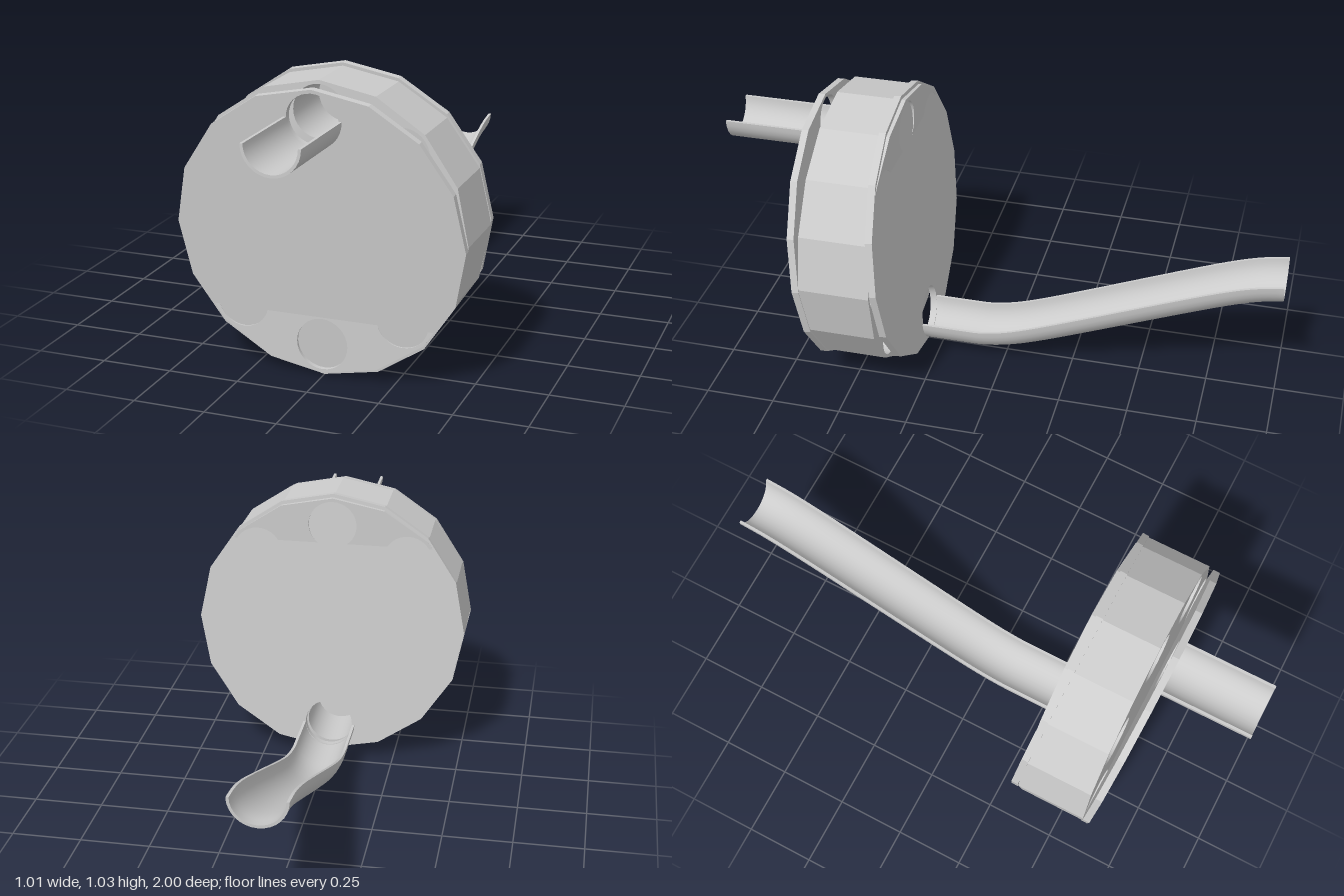
import * as THREE from 'three';
import { toCreasedNormals } from 'three/addons/utils/BufferGeometryUtils.js';

const RADIUS = 0.503, RING = 0.4, BORE = 0.09, TILT = THREE.MathUtils.degToRad(5);
const material = new THREE.MeshStandardMaterial({ color: 0xcccccc });
const openMaterial = new THREE.MeshStandardMaterial({ color: 0xcccccc, side: THREE.DoubleSide });

// 16-sided slab, centred on its own axis, with round bores at the given angles
function slab(depth, angles) {
  const corners = Array.from({ length: 16 }, (_, i) => {
    const a = i * Math.PI / 8;
    return new THREE.Vector2(RADIUS * Math.cos(a), RADIUS * Math.sin(a));
  });
  const shape = new THREE.Shape(corners);
  for (const a of angles) {
    const hole = new THREE.Path();
    hole.absarc(RING * Math.cos(a), RING * Math.sin(a), BORE, 0, Math.PI * 2, true);
    shape.holes.push(hole);
  }
  const geometry = new THREE.ExtrudeGeometry(shape, { depth, bevelEnabled: false, curveSegments: 16 });
  geometry.translate(0, 0, -depth / 2);
  return toCreasedNormals(geometry, 0.3);
}

// Half-pipe swept along a path of [z, y] rim points running towards +z
function trough(points, steps) {
  const curve = new THREE.CatmullRomCurve3(points.map(([z, y]) => new THREE.Vector3(0, y, z)));
  const N = 16, section = [];
  for (let i = 0; i <= N; i++) section.push([0.1, Math.PI * (1 + i / N)]);
  for (let i = N; i >= 0; i--) section.push([0.09, Math.PI * (1 + i / N)]);
  const m = section.length, position = [], index = [];

  for (let s = 0; s <= steps; s++) {
    const p = curve.getPointAt(s / steps);
    // both ends are cut upright
    const t = s === 0 || s === steps ? new THREE.Vector3(0, 0, 1) : curve.getTangentAt(s / steps);
    for (const [r, a] of section) {
      const v = r * Math.sin(a);
      position.push(r * Math.cos(a), p.y + v * t.z, p.z - v * t.y);
    }
  }
  const quad = (a, b, c, d) => index.push(a, b, c, a, c, d);
  for (let s = 0; s < steps; s++) {
    for (let k = 0; k < m; k++) {
      const n = (k + 1) % m, o = s * m;
      quad(o + k, o + n, o + m + n, o + m + k);
    }
  }
  // end caps
  const e = steps * m;
  for (let k = 0; k < N; k++) {
    quad(e + k, e + k + 1, e + m - 2 - k, e + m - 1 - k);
    quad(k, m - 1 - k, m - 2 - k, k + 1);
  }
  const geometry = new THREE.BufferGeometry();
  geometry.setAttribute('position', new THREE.Float32BufferAttribute(position, 3));
  geometry.setIndex(index);
  return toCreasedNormals(geometry, 0.6);
}

export function createModel() {
  const model = new THREE.Group();
  model.name = 'drumWithTroughs';
  const add = (name, geometry, mat, y = 0, z = 0, tilt = 0) => {
    const mesh = new THREE.Mesh(geometry, mat);
    mesh.name = name;
    mesh.position.set(0, y, z);
    mesh.rotation.x = tilt;
    model.add(mesh);
  };

  // Drum with a ring of eight through-bores
  const eight = Array.from({ length: 8 }, (_, i) => i * Math.PI / 4);
  add('drum', slab(0.25, eight), material, 0.516, 0.488);

  // Tilted cover plates, each with one opening
  add('frontPlate', slab(0.025, [Math.PI / 2]), material, 0.503, 0.626, TILT);
  add('backPlate', slab(0.025, [-Math.PI / 2]), material, 0.53, 0.348, TILT);

  // Straight inlet trough and rising outlet trough
  add('frontTrough', trough([[0.665, 0.905], [1, 0.905]], 1), openMaterial);
  add('backTrough', trough([
    [-1, 0.515], [-0.91, 0.5], [-0.8, 0.466], [-0.1, 0.18],
    [0, 0.147], [0.085, 0.131], [0.14, 0.13], [0.3, 0.13],
  ], 48), openMaterial);

  return model;
}
